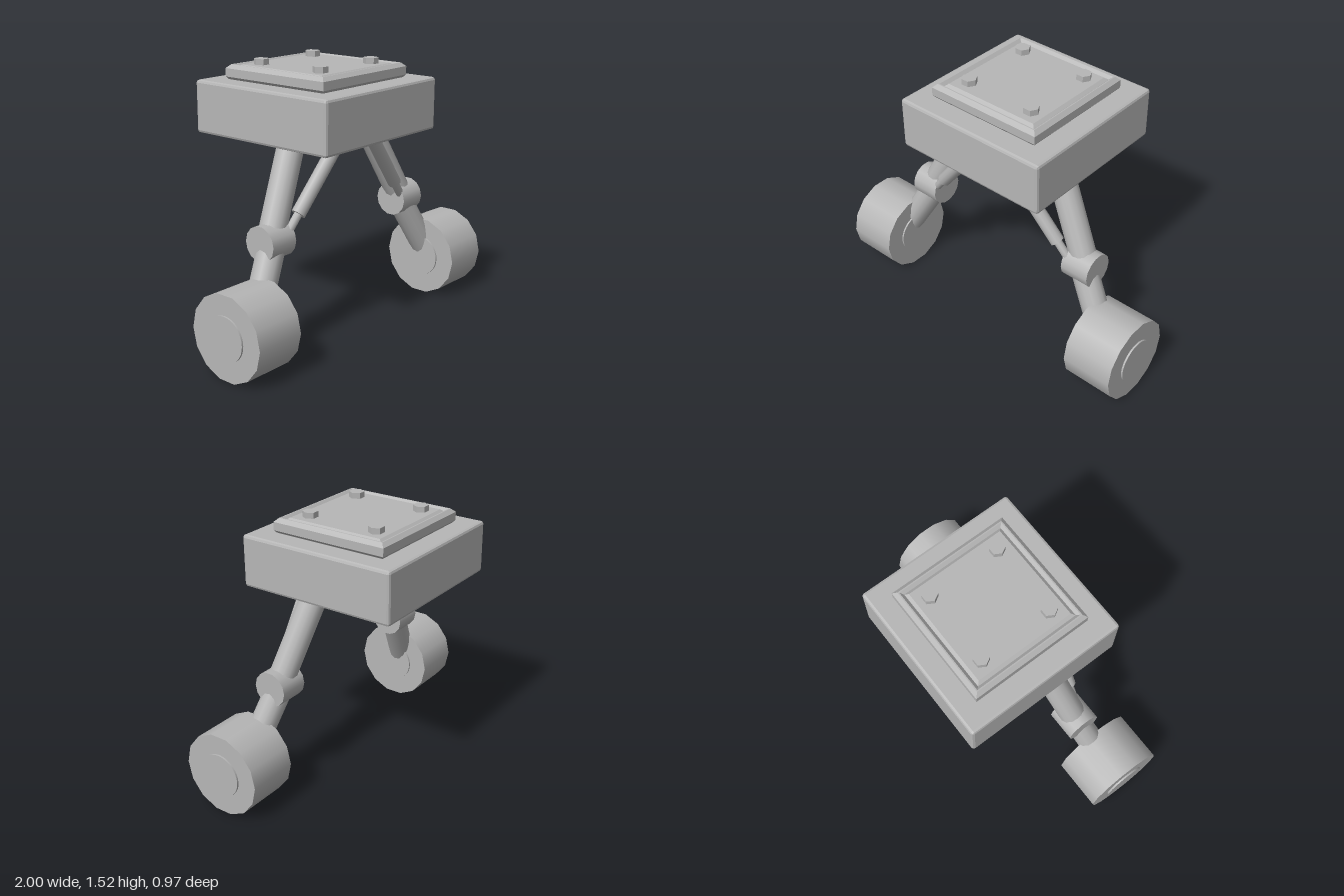
import * as THREE from 'three';
import { RoundedBoxGeometry } from 'three/addons/geometries/RoundedBoxGeometry.js';

const grey = new THREE.MeshStandardMaterial({ color: 0xb6b6b6 });
grey.name = 'plain grey';

function add(parent, name, geometry, x = 0, y = 0, z = 0) {
  const mesh = new THREE.Mesh(geometry, grey);
  mesh.name = name;
  mesh.position.set(x, y, z);
  parent.add(mesh);
  return mesh;
}

// Gives every face its own flat normal
function faceted(geometry) {
  const g = geometry.index ? geometry.toNonIndexed() : geometry;
  g.computeVertexNormals();
  return g;
}

// Cylinder lying along x
function drum(parent, name, radius, length, sides, x, y, z) {
  const g = new THREE.CylinderGeometry(radius, radius, length, sides).rotateZ(Math.PI / 2);
  return add(parent, name, g, x, y, z);
}

// Cylinder running between two points
function rod(parent, name, from, to, radius, sides = 14) {
  const a = new THREE.Vector3(...from);
  const b = new THREE.Vector3(...to);
  const dir = b.clone().sub(a);
  const mesh = add(parent, name, new THREE.CylinderGeometry(radius, radius, dir.length(), sides));
  mesh.position.copy(a).add(b).multiplyScalar(0.5);
  mesh.quaternion.setFromUnitVectors(new THREE.Vector3(0, 1, 0), dir.normalize());
  return mesh;
}

// Square plate from a profile of [half width, height]
function squareLathe(profile) {
  const pts = profile.map(([w, y]) => new THREE.Vector2(w * Math.SQRT2, y));
  return faceted(new THREE.LatheGeometry(pts, 4).rotateY(Math.PI / 4));
}

function createLeg(s) {
  const leg = new THREE.Group();
  leg.name = s > 0 ? 'leftLeg' : 'rightLeg';

  // Upper and lower limbs meeting at the knee
  rod(leg, 'upperLimb', [s * 0.275, 1.2, 0.078], [s * 0.575, 0.63, 0.165], 0.076);
  drum(leg, 'kneeJoint', 0.1, 0.175, 14, s * 0.567, 0.63, 0.165);
  rod(leg, 'lowerLimb', [s * 0.552, 0.63, 0.165], [s * 0.775, 0.24, 0.235], 0.076);

  // Damper: sleeve from the body, thin rod into the knee
  rod(leg, 'damperSleeve', [s * 0.062, 1.2, 0.274], [s * 0.425, 0.757, 0.23], 0.04, 12);
  rod(leg, 'damperRod', [s * 0.384, 0.807, 0.235], [s * 0.529, 0.63, 0.217], 0.024, 10);

  // Wheel with a hub showing on both faces
  drum(leg, 'wheel', 0.24, 0.3, 14, s * 0.84, 0.234, 0.245);
  drum(leg, 'hub', 0.125, 0.32, 32, s * 0.84, 0.234, 0.245);
  return leg;
}

export function createModel() {
  const model = new THREE.Group();
  model.name = 'wheeledLegBase';
  const zc = -0.009;

  // Body block with chamfered edges
  add(model, 'body', faceted(new RoundedBoxGeometry(0.954, 0.3, 0.954, 1, 0.016)), 0, 1.255, zc);

  // Top plate with chamfered rim and a groove around the panel
  add(model, 'topPlate', squareLathe([
    [0, 1.4], [0.34, 1.4], [0.357, 1.42], [0.357, 1.467], [0.335, 1.488],
    [0.328, 1.488], [0.311, 1.472], [0.293, 1.486], [0, 1.486],
  ]), 0, 0, zc - 0.002);

  // Hexagonal bolts, one per corner
  for (const x of [-1, 1]) {
    for (const z of [-1, 1]) {
      const hex = faceted(new THREE.CylinderGeometry(0.044, 0.044, 0.05, 6).rotateY(Math.PI / 2));
      add(model, 'bolt', hex, x * 0.215, 1.494, zc - 0.003 + z * 0.216);
    }
  }

  model.add(createLeg(1), createLeg(-1));
  return model;
}
